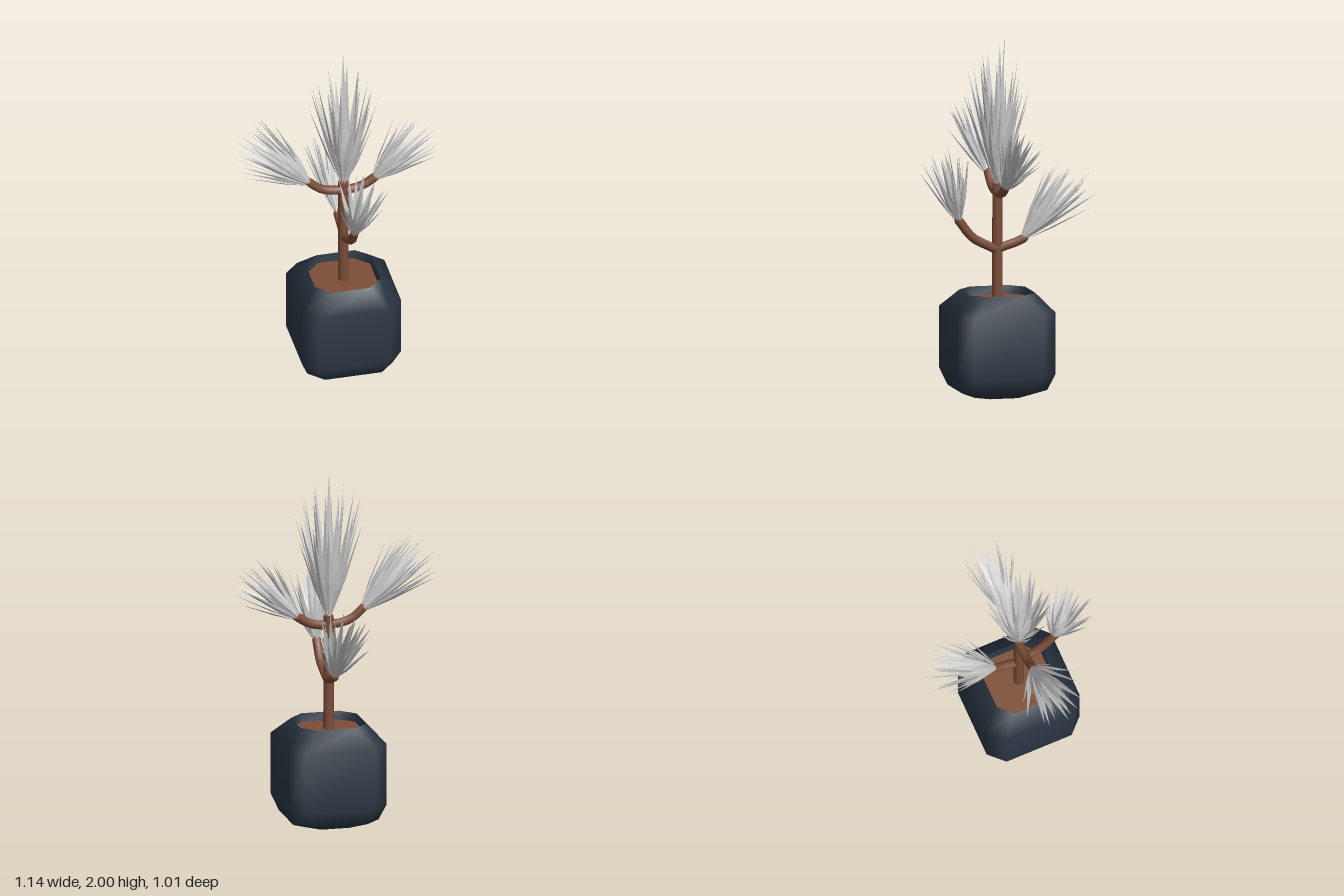
import * as THREE from 'three';

const CX = 0.045, CZ = 0.037; // trunk and pot axis

function material(name, color, side = THREE.FrontSide) {
  const m = new THREE.MeshStandardMaterial({ color, side });
  m.name = name;
  return m;
}

// Skin over chamfered-square rings given as [half width, half flat edge, y]
function loft(rings) {
  const pos = [], index = [];
  for (const [h, c, y] of rings) {
    const corners = [[h, c], [h, -c], [c, -h], [-c, -h], [-h, -c], [-h, c], [-c, h], [c, h]];
    for (const [x, z] of corners) pos.push(x, y, z);
  }
  for (let i = 0; i < rings.length - 1; i++) {
    for (let j = 0; j < 8; j++) {
      const a = i * 8 + j, b = i * 8 + (j + 1) % 8;
      index.push(a, b, b + 8, a, b + 8, a + 8);
    }
  }
  const g = new THREE.BufferGeometry();
  g.setAttribute('position', new THREE.Float32BufferAttribute(pos, 3));
  g.setIndex(index);
  g.computeVertexNormals();
  return g;
}

// Tuft of folded, pointed blades fanning around an axis, shorter towards the outside
function tuft({ base, axis, count, length, shortest, spread, width, seed }) {
  const random = () => (seed = (seed * 16807) % 2147483647) / 2147483647;
  const origin = new THREE.Vector3(...base);
  const a = new THREE.Vector3(...axis).normalize();
  const helper = Math.abs(a.x) > 0.5 ? new THREE.Vector3(0, 0, 1) : new THREE.Vector3(1, 0, 0);
  const u = new THREE.Vector3().crossVectors(a, helper).normalize();
  const v = new THREE.Vector3().crossVectors(a, u);
  const pos = [];
  for (let i = 0; i < count; i++) {
    const t = (i + 0.5) / count, phi = i * 2.39996 + random() * 0.4;
    const tilt = spread * Math.sqrt(t) * (0.92 + 0.16 * random());
    const len = i ? length * THREE.MathUtils.lerp(1, shortest, 0.6 * t + 0.4 * random()) : length;
    const r = u.clone().multiplyScalar(Math.cos(phi)).addScaledVector(v, Math.sin(phi));
    const dir = a.clone().multiplyScalar(Math.cos(tilt)).addScaledVector(r, Math.sin(tilt));
    const side = new THREE.Vector3().crossVectors(a, r);
    const out = new THREE.Vector3().crossVectors(side, dir);
    const root = origin.clone().addScaledVector(r, 0.012);
    const tip = root.clone().addScaledVector(dir, len);
    const mid = root.clone().addScaledVector(dir, len * 0.41);
    const ridge = mid.clone().addScaledVector(out, width * 0.2);
    const left = mid.clone().addScaledVector(side, width / 2);
    const right = mid.clone().addScaledVector(side, -width / 2);
    for (const p of [root, ridge, left, left, ridge, tip, root, right, ridge, ridge, right, tip]) {
      pos.push(p.x, p.y, p.z);
    }
  }
  const g = new THREE.BufferGeometry();
  g.setAttribute('position', new THREE.Float32BufferAttribute(pos, 3));
  g.computeVertexNormals();
  return g;
}

export function createModel() {
  const model = new THREE.Group();
  model.name = 'pottedPlant';
  const glaze = material('navy glaze', 0x2a3542);
  const soilMat = material('soil brown', 0x7c4f38);
  const bark = material('bark brown', 0x7b4c37);
  const leaf = material('pale grey leaf', 0xd2d2d2, THREE.DoubleSide);

  const add = (name, geometry, mat, parent = model) => {
    const mesh = new THREE.Mesh(geometry, mat);
    mesh.name = name;
    parent.add(mesh);
    return mesh;
  };

  // Pot: soft chamfered cube with a sunken opening
  const pot = new THREE.Group();
  pot.name = 'pot';
  pot.position.set(CX, 0, CZ);
  model.add(pot);
  add('potBody', loft([
    [0, 0, 0], [0.15, 0.08, 0], [0.241, 0.16, 0.04], [0.278, 0.195, 0.13],
    [0.278, 0.195, 0.476], [0.186, 0.107, 0.575],
  ]), glaze, pot);
  add('potInnerWall', loft([[0.186, 0.107, 0.575], [0.174, 0.1, 0.525]]), glaze, pot);
  add('soil', loft([[0.176, 0.1, 0.53], [0, 0, 0.53]]), soilMat, pot);

  // Trunk
  const trunk = add('trunk', new THREE.CylinderGeometry(0.028, 0.03, 0.65, 10), bark);
  trunk.position.set(CX, 0.85, CZ);

  // Branches, each curving out of the trunk
  const branches = {
    rightBranch: [[CX, 1.125, CZ], [-0.015, 1.128, CZ], [-0.085, 1.15, CZ], [-0.15, 1.205, CZ]],
    leftBranch: [[CX, 1.12, CZ], [0.12, 1.127, CZ], [0.17, 1.145, CZ], [0.225, 1.18, CZ]],
    frontBranch: [[0.05, 0.805, CZ], [0.054, 0.835, 0.1], [0.056, 0.88, 0.18], [0.056, 0.98, 0.26]],
    backBranch: [[0.048, 0.81, CZ], [0.05, 0.83, -0.02], [0.05, 0.845, -0.07], [0.05, 0.865, -0.115]],
  };
  for (const [name, points] of Object.entries(branches)) {
    const path = new THREE.CatmullRomCurve3(points.map((p) => new THREE.Vector3(...p)));
    add(name, new THREE.TubeGeometry(path, 8, 0.025, 8), bark);
    // Rounded end under the leaves
    add(name + 'End', new THREE.SphereGeometry(0.024, 8, 6), bark).position.set(...points[3]);
  }

  // Leaf tufts
  const tufts = {
    topLeaves: { base: [CX, 1.165, CZ], axis: [0.01, 1, 0.01], count: 34, length: 0.835,
      shortest: 0.5, spread: 0.35, width: 0.052, seed: 11 },
    rightLeaves: { base: [-0.14, 1.19, CZ], axis: [-1, 0.96, 0], count: 28, length: 0.55,
      shortest: 0.68, spread: 0.42, width: 0.04, seed: 23 },
    leftLeaves: { base: [0.21, 1.165, CZ], axis: [1, 0.95, 0], count: 26, length: 0.455,
      shortest: 0.7, spread: 0.44, width: 0.038, seed: 37 },
    frontLeaves: { base: [0.056, 0.965, 0.255], axis: [0.07, 1, 0.27], count: 24, length: 0.45,
      shortest: 0.66, spread: 0.45, width: 0.038, seed: 51 },
    backLeaves: { base: [0.05, 0.86, -0.1], axis: [0.04, 1.1, -1], count: 28, length: 0.53,
      shortest: 0.7, spread: 0.41, width: 0.04, seed: 73 },
  };
  for (const [name, spec] of Object.entries(tufts)) add(name, tuft(spec), leaf);

  return model;
}
